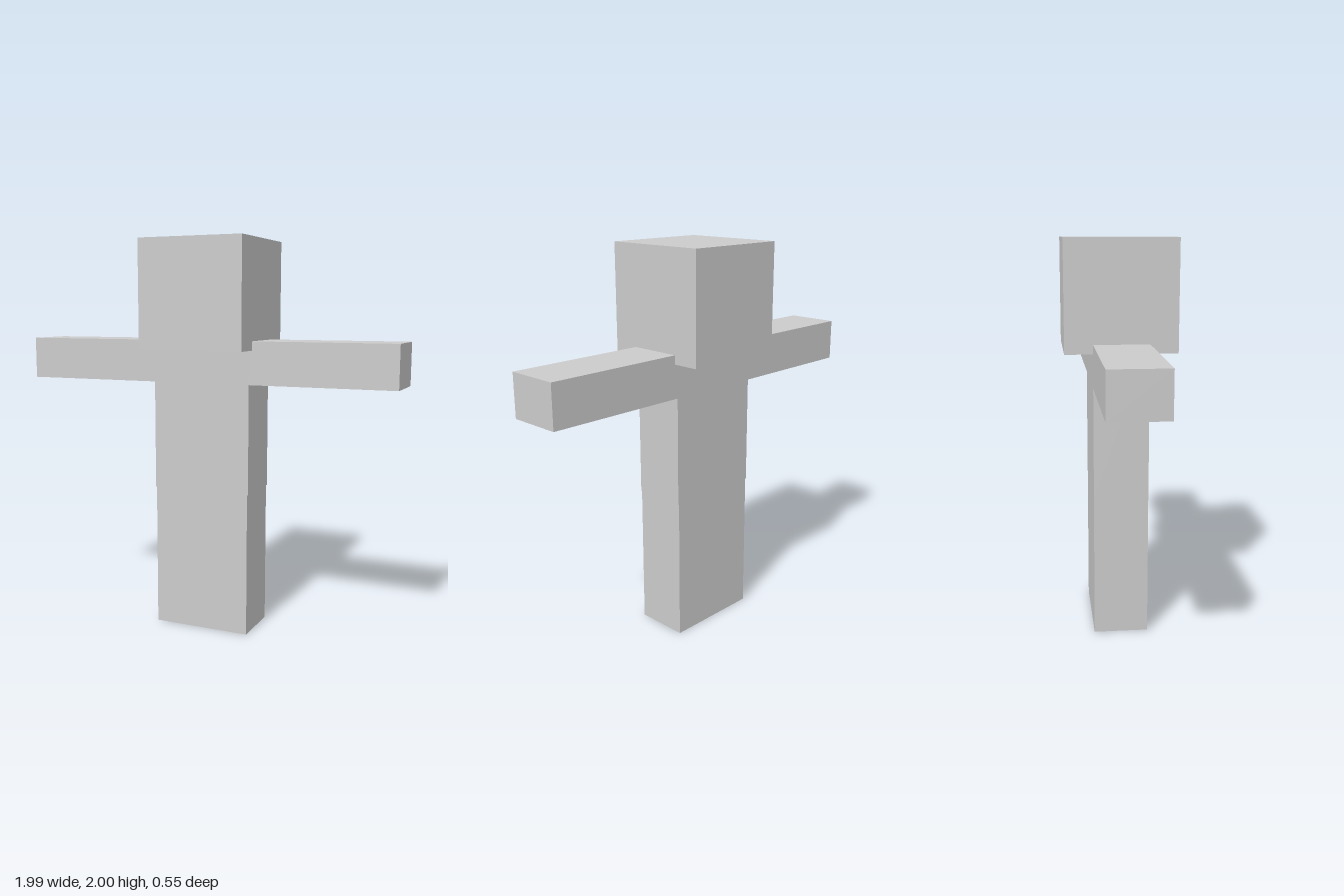
import * as THREE from 'three';

const material = new THREE.MeshStandardMaterial({ color: 0xcccccc, flatShading: true });

// Box given by its x, y and z extents
function block(name, [x0, x1], [y0, y1], [z0, z1]) {
  const mesh = new THREE.Mesh(new THREE.BoxGeometry(x1 - x0, y1 - y0, z1 - z0), material);
  mesh.name = name;
  mesh.position.set((x0 + x1) / 2, (y0 + y1) / 2, (z0 + z1) / 2);
  return mesh;
}

export function createModel() {
  const model = new THREE.Group();
  model.name = 'blockFigure';
  const depth = [-0.137, 0.137];

  // Cube head, sunk slightly into the shoulders
  model.add(block('head', [-0.275, 0.275], [1.455, 2], [-0.275, 0.275]));

  // Torso, a touch wider than the legs
  model.add(block('torso', [-0.259, 0.259], [0.733, 1.5], depth));

  // Outstretched arms and closed legs, mirrored
  for (const [side, s] of [['left', 1], ['right', -1]]) {
    const span = (a, b) => (s > 0 ? [a, b] : [-b, -a]);
    model.add(block(side + 'Arm', span(0.259, 0.993), [1.286, 1.5], depth));
    model.add(block(side + 'Leg', span(0, 0.254), [0, 0.733], depth));
  }
  return model;
}
